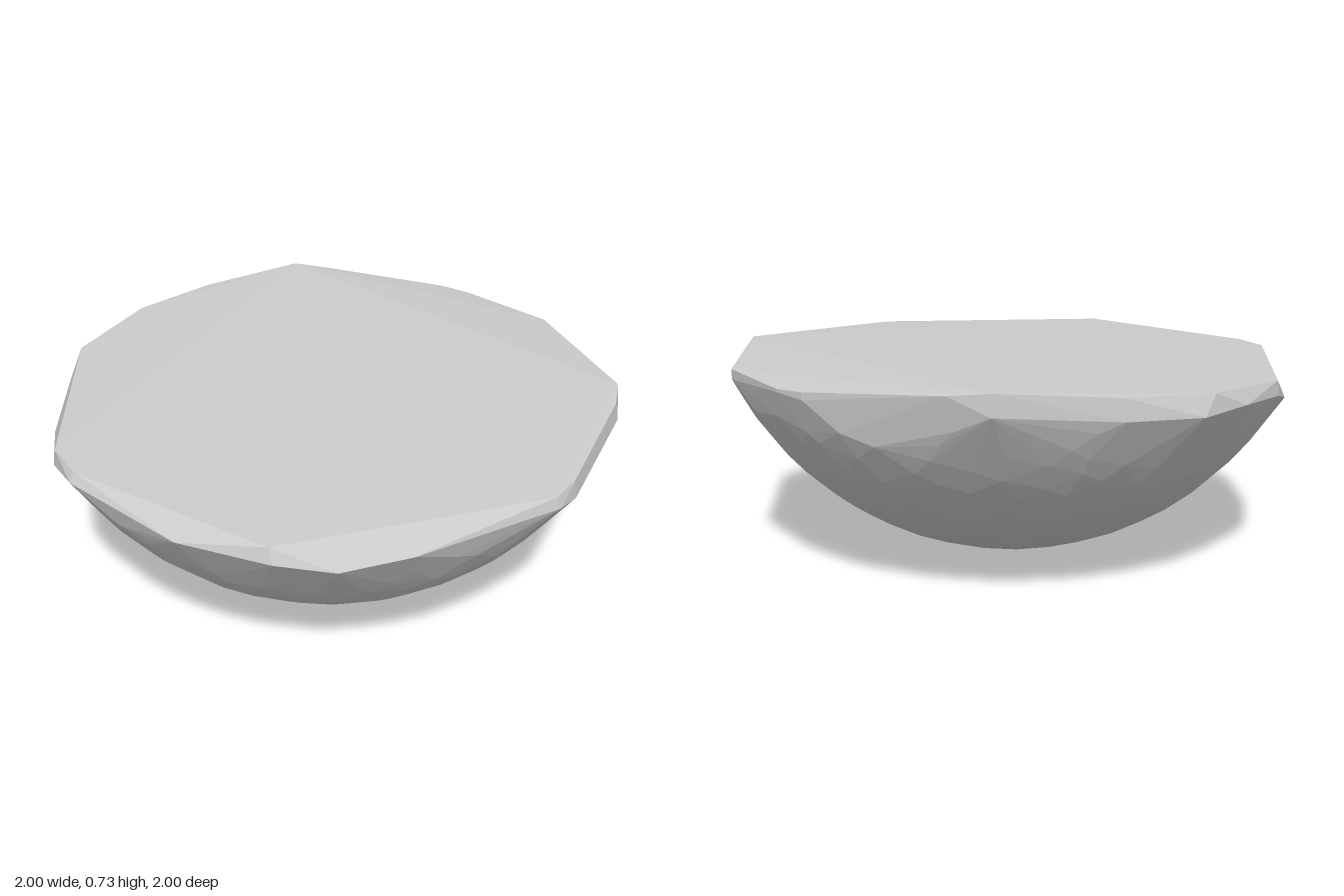
import * as THREE from 'three';
import { ConvexGeometry } from 'three/addons/geometries/ConvexGeometry.js';

const R = 1.09; // radius of the rounded underside

// Corners of the nearly flat top: x, y, z
const TOP = [
  [-0.48, 0.68, 0.865], [-0.33, 0.68, 0.93], [0.43, 0.69, 0.91], [0.985, 0.69, 0.2],
  [0.99, 0.69, 0.08], [0.9, 0.705, -0.43], [0.855, 0.715, -0.55], [0.38, 0.695, -0.93],
  [0, 0.69, -1], [-0.12, 0.695, -0.99], [-0.58, 0.725, -0.815], [-0.7, 0.74, -0.745],
  [-0.9, 0.71, -0.41], [-0.99, 0.695, -0.1], [-0.95, 0.68, 0.28],
];

// Widest outline, just below the top, running round from the front
const RIM = [
  [0.15, 0.645, 1], [0.45, 0.64, 0.92], [0.61, 0.62, 0.82], [0.77, 0.65, 0.66],
  [1, 0.65, 0.19], [1, 0.63, 0.08], [0.91, 0.64, -0.44], [0.86, 0.66, -0.55],
  [0.38, 0.66, -0.93], [0, 0.68, -1], [-0.12, 0.67, -0.99], [-0.7, 0.67, -0.75],
  [-0.91, 0.64, -0.41], [-1, 0.63, -0.16], [-1, 0.64, 0.05], [-0.955, 0.63, 0.28],
  [-0.9, 0.6, 0.4], [-0.7, 0.58, 0.67], [-0.49, 0.62, 0.87], [-0.33, 0.65, 0.95],
];

function seeded(seed) {
  return () => {
    seed = (seed * 16807) % 2147483647;
    return seed / 2147483647;
  };
}

// True if a point lies inside the convex rim outline
function insideRim(p) {
  return RIM.every(([ax, , az], i) => {
    const [bx, , bz] = RIM[(i + 1) % RIM.length];
    return (bx - ax) * (p.z - az) - (bz - az) * (p.x - ax) < -0.004;
  });
}

function createStone() {
  const random = seeded(71);
  const points = [...TOP, ...RIM].map((c) => new THREE.Vector3(...c));
  const centre = new THREE.Vector3(0, R, 0);

  // Larger flat facets: one underneath and one on each side
  const spots = [new THREE.Vector3(0, -1, 0)];
  for (let i = 0; i < 4; i++) {
    const a = (i * Math.PI) / 2;
    spots.push(new THREE.Vector3(Math.sin(a), -1, Math.cos(a)).normalize());
  }
  for (const n of spots) {
    const u = new THREE.Vector3(1, 0.3, 0.6).cross(n).normalize();
    const v = n.clone().cross(u);
    for (let i = 0; i < 8; i++) {
      const a = (i * Math.PI) / 4;
      points.push(n.clone().addScaledVector(u, 0.105 * Math.cos(a))
        .addScaledVector(v, 0.105 * Math.sin(a)).setLength(R).add(centre));
    }
  }

  // Irregular small facets over the rest of the underside
  const count = 400;
  for (let i = 0; i < count; i++) {
    const y = -1 + 0.57 * (i + random()) / count;
    const a = i * 2.39996 + (random() - 0.5) * 0.12;
    const r = Math.sqrt(1 - y * y);
    const n = new THREE.Vector3(r * Math.cos(a), y, r * Math.sin(a));
    if (spots.some((s) => s.distanceTo(n) < 0.14)) continue;
    const p = n.multiplyScalar(R - random() * 0.003).add(centre);
    if (insideRim(p)) points.push(p);
  }

  const geometry = new ConvexGeometry(points);
  geometry.computeBoundingBox();
  geometry.translate(0, -geometry.boundingBox.min.y, 0);
  return geometry;
}

export function createModel() {
  const group = new THREE.Group();
  group.name = 'halfRoundStone';
  const material = new THREE.MeshStandardMaterial({ color: 0xcccccc, flatShading: true });
  const stone = new THREE.Mesh(createStone(), material);
  stone.name = 'stone';
  group.add(stone);
  return group;
}
